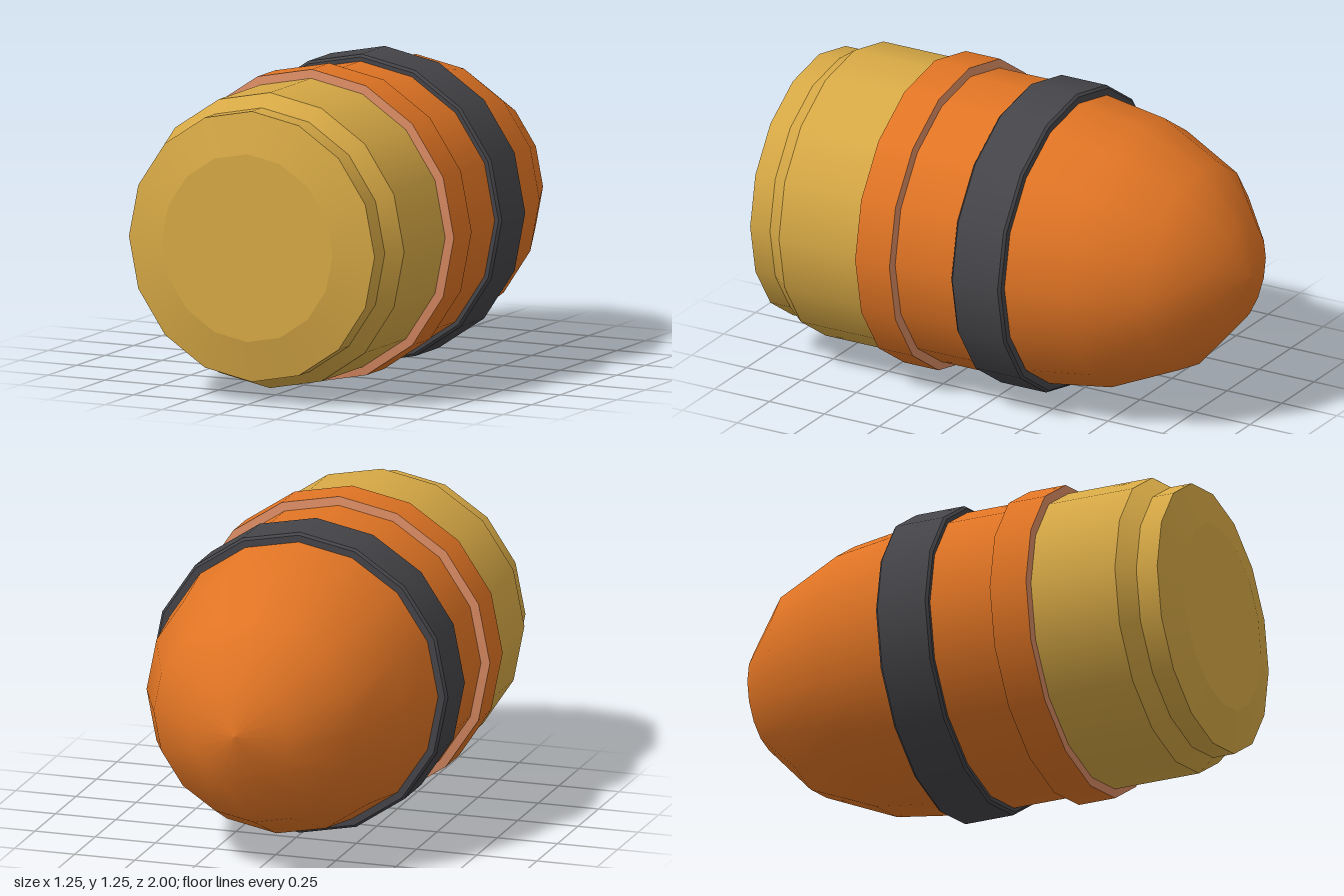
import * as THREE from 'three';

const SIDES = 16;
const CENTRE_Y = 0.625;

function material(name, color) {
  const m = new THREE.MeshStandardMaterial({ color });
  m.name = name;
  return m;
}

// Revolves [radius, z] points (back to front) around the lengthwise axis
function turned(name, profile, mat) {
  const points = profile.map(([r, z]) => new THREE.Vector2(r, z));
  const geometry = new THREE.LatheGeometry(points, SIDES);
  geometry.rotateX(Math.PI / 2);
  const mesh = new THREE.Mesh(geometry, mat);
  mesh.name = name;
  return mesh;
}

// One smooth band per profile step, so every step keeps a sharp edge
function stepped(name, profile, mats) {
  const group = new THREE.Group();
  group.name = name;
  for (let i = 0; i < profile.length - 1; i++) {
    const mat = Array.isArray(mats) ? mats[i] : mats;
    group.add(turned(`${name}Band${i + 1}`, [profile[i], profile[i + 1]], mat));
  }
  return group;
}

export function createModel() {
  const brass = material('brass', 0xd6a845);
  const orange = material('orange', 0xe07424);
  const copper = material('copper', 0xd88a62);
  const charcoal = material('charcoal', 0x454448);

  const model = new THREE.Group();
  model.name = 'shell';
  const body = new THREE.Group();
  body.name = 'body';
  body.position.y = CENTRE_Y;
  model.add(body);

  // Rounded nose and straight sleeve behind it
  body.add(turned('nose', [
    [0, -1], [0.21, -0.95], [0.415, -0.77], [0.54, -0.49], [0.582, -0.2],
  ], orange));
  body.add(turned('sleeve', [[0.582, -0.2], [0.59, -0.1], [0.59, 0.28]], orange));

  // Case with a stepped rim
  body.add(stepped('case', [
    [0.59, 0.28], [0.59, 0.8], [0.54, 0.87], [0.54, 0.96],
  ], brass));
  // Shallow dished base
  body.add(stepped('base', [[0.54, 0.96], [0.375, 1], [0, 1]], brass));

  // Orange collar with copper sides
  body.add(stepped('collar', [
    [0.585, 0.27], [0.625, 0.277], [0.625, 0.433], [0.585, 0.44],
  ], [copper, orange, copper]));

  // Dark band
  body.add(stepped('darkBand', [
    [0.57, -0.22], [0.607, -0.22], [0.617, -0.21], [0.617, -0.005], [0.607, 0.005], [0.58, 0.005],
  ], charcoal));

  return model;
}
